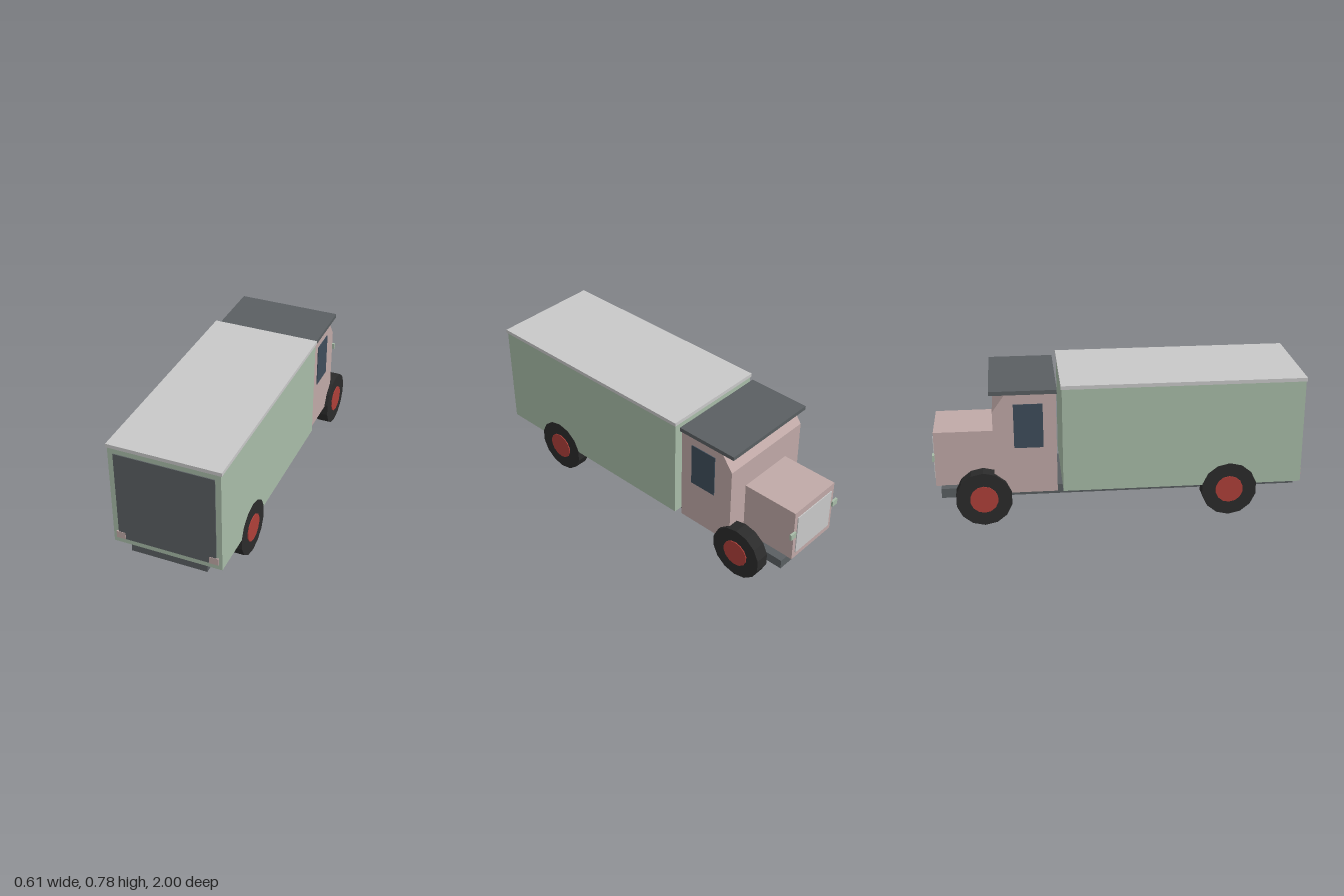
import * as THREE from 'three';

const paint = (name, color) => {
  const m = new THREE.MeshStandardMaterial({ color });
  m.name = name;
  return m;
};

export function createModel() {
  const truck = new THREE.Group();
  truck.name = 'boxTruck';

  const green = paint('pale green', 0xa8bca8);
  const pink = paint('dusty pink', 0xc0a9a7);
  const slate = paint('slate grey', 0x5a5f62);
  const silver = paint('light grey', 0xc8c8c8);
  const rubber = paint('tyre black', 0x2b2b2b);
  const red = paint('hub red', 0xae3f39);
  const glass = paint('window blue', 0x3e4d5b);
  rubber.flatShading = true;
  red.flatShading = true;

  const add = (name, geometry, material) => {
    const mesh = new THREE.Mesh(geometry, material);
    mesh.name = name;
    truck.add(mesh);
    return mesh;
  };

  // Box given by its lower and upper limits on each axis
  const block = (name, material, [x0, x1], [y0, y1], [z0, z1]) => {
    const g = new THREE.BoxGeometry(x1 - x0, y1 - y0, z1 - z0);
    g.translate((x0 + x1) / 2, (y0 + y1) / 2, (z0 + z1) / 2);
    return add(name, g, material);
  };

  // Chassis and cargo body
  block('chassis', slate, [-0.21, 0.21], [0.128, 0.181], [-0.96, 0.98]);
  block('cargoBox', green, [-0.298, 0.298], [0.18, 0.761], [-0.305, 0.993]);
  block('cargoRoof', silver, [-0.304, 0.304], [0.76, 0.78], [-0.31, 0.997]);
  block('rearDoor', slate, [-0.268, 0.268], [0.21, 0.73], [0.99, 0.998]);

  // Cab: side profile with a slanted upper edge, extruded across the width
  const profile = new THREE.Shape([
    [0.335, 0.175], [0.67, 0.175], [0.67, 0.64], [0.6, 0.738], [0.335, 0.738],
  ].map(([z, y]) => new THREE.Vector2(z, y)));
  const cab = new THREE.ExtrudeGeometry(profile, { depth: 0.56, bevelEnabled: false });
  cab.translate(0, 0, -0.28).rotateY(Math.PI / 2);
  add('cab', cab, pink);
  block('cabRoof', slate, [-0.29, 0.29], [0.735, 0.757], [-0.685, -0.33]);

  // Hood and grille
  block('hood', pink, [-0.163, 0.163], [0.179, 0.49], [-0.99, -0.66]);
  block('grille', silver, [-0.14, 0.14], [0.215, 0.45], [-0.995, -0.988]);

  // Paired details and wheels
  for (const s of [-1, 1]) {
    const side = s > 0 ? 'left' : 'right';
    const span = (a, b) => (s > 0 ? [a, b] : [-b, -a]);
    block(side + 'Window', glass, span(0.277, 0.284), [0.435, 0.68], [-0.56, -0.405]);
    block(side + 'Headlight', green, span(0.155, 0.195), [0.335, 0.37], [-1, -0.988]);
    block(side + 'TailLight', pink, span(0.23, 0.28), [0.21, 0.25], [0.992, 1]);

    for (const [end, z] of [['Cab', -0.73], ['Cargo', 0.6]]) {
      const disc = (name, material, radius, [x0, x1]) => {
        const g = new THREE.CylinderGeometry(radius, radius, x1 - x0, 14);
        g.rotateZ(Math.PI / 2).rotateX(Math.PI / 14);
        g.translate((x0 + x1) / 2, 0.15, z);
        add(side + end + name, g, material);
      };
      disc('Tyre', rubber, 0.152, span(0.223, 0.299));
      disc('Hub', red, 0.076, span(0.25, 0.304));
    }
  }

  return truck;
}
